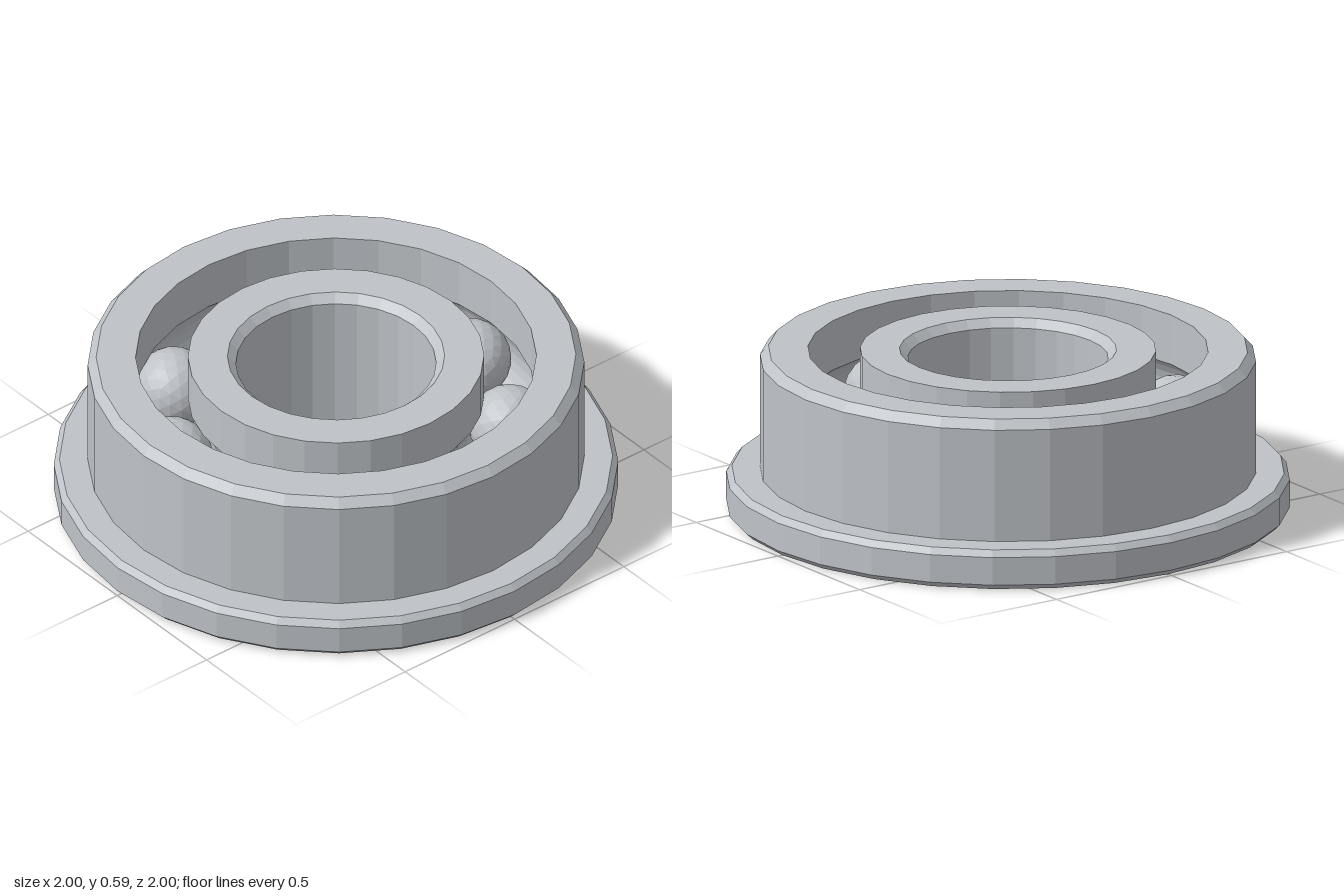
import * as THREE from 'three';

const SIDES = 28;
const HEIGHT = 0.59;
const MID = HEIGHT / 2;
const BALLS = 9;
const PITCH = 0.615; // radius of the circle of ball centres
const BALL_RADIUS = 0.145;
const GROOVE_RADIUS = 0.147;

// Arc of the ball race between two angles (degrees), as profile points
function groove(fromDeg, toDeg, steps = 8) {
  const points = [];
  for (let i = 0; i <= steps; i++) {
    const a = THREE.MathUtils.degToRad(fromDeg + ((toDeg - fromDeg) * i) / steps);
    points.push([PITCH + GROOVE_RADIUS * Math.cos(a), MID + GROOVE_RADIUS * Math.sin(a)]);
  }
  return points;
}

// Closed profile (radius, height), counter-clockwise, turned around y
function ring(name, profile, material) {
  const points = [...profile, profile[0]].map(([r, y]) => new THREE.Vector2(r, y));
  const mesh = new THREE.Mesh(new THREE.LatheGeometry(points, SIDES), material);
  mesh.name = name;
  return mesh;
}

export function createModel() {
  const steel = new THREE.MeshStandardMaterial({ color: 0xbfc3c8, flatShading: true });
  steel.name = 'steel';

  const model = new THREE.Group();
  model.name = 'flangedBallBearing';

  // Outer ring with bottom flange, chamfered edges and inner race
  const outerWall = 0.71;
  const outerAngle = THREE.MathUtils.radToDeg(Math.acos((outerWall - PITCH) / GROOVE_RADIUS));
  model.add(ring('outerRing', [
    [outerWall, 0], [0.98, 0], [1, 0.02], [1, 0.122], [0.98, 0.145],
    [0.88, 0.145], [0.88, 0.557], [0.85, HEIGHT], [outerWall, HEIGHT],
    ...groove(outerAngle, -outerAngle),
  ], steel));

  // Inner ring with chamfered bore and outer race
  const innerWall = 0.525;
  const innerAngle = THREE.MathUtils.radToDeg(Math.acos((innerWall - PITCH) / GROOVE_RADIUS));
  model.add(ring('innerRing', [
    [0.385, 0], [innerWall, 0],
    ...groove(360 - innerAngle, innerAngle),
    [innerWall, HEIGHT], [0.385, HEIGHT], [0.355, HEIGHT - 0.03], [0.355, 0.03],
  ], steel));

  // Balls evenly spaced in the race
  const balls = new THREE.Group();
  balls.name = 'balls';
  const ballGeometry = new THREE.IcosahedronGeometry(BALL_RADIUS, 3);
  for (let i = 0; i < BALLS; i++) {
    const a = (i / BALLS) * Math.PI * 2;
    const ball = new THREE.Mesh(ballGeometry, steel);
    ball.name = 'ball';
    ball.position.set(PITCH * Math.cos(a), MID, PITCH * Math.sin(a));
    ball.rotation.y = -a;
    balls.add(ball);
  }
  model.add(balls);

  return model;
}
